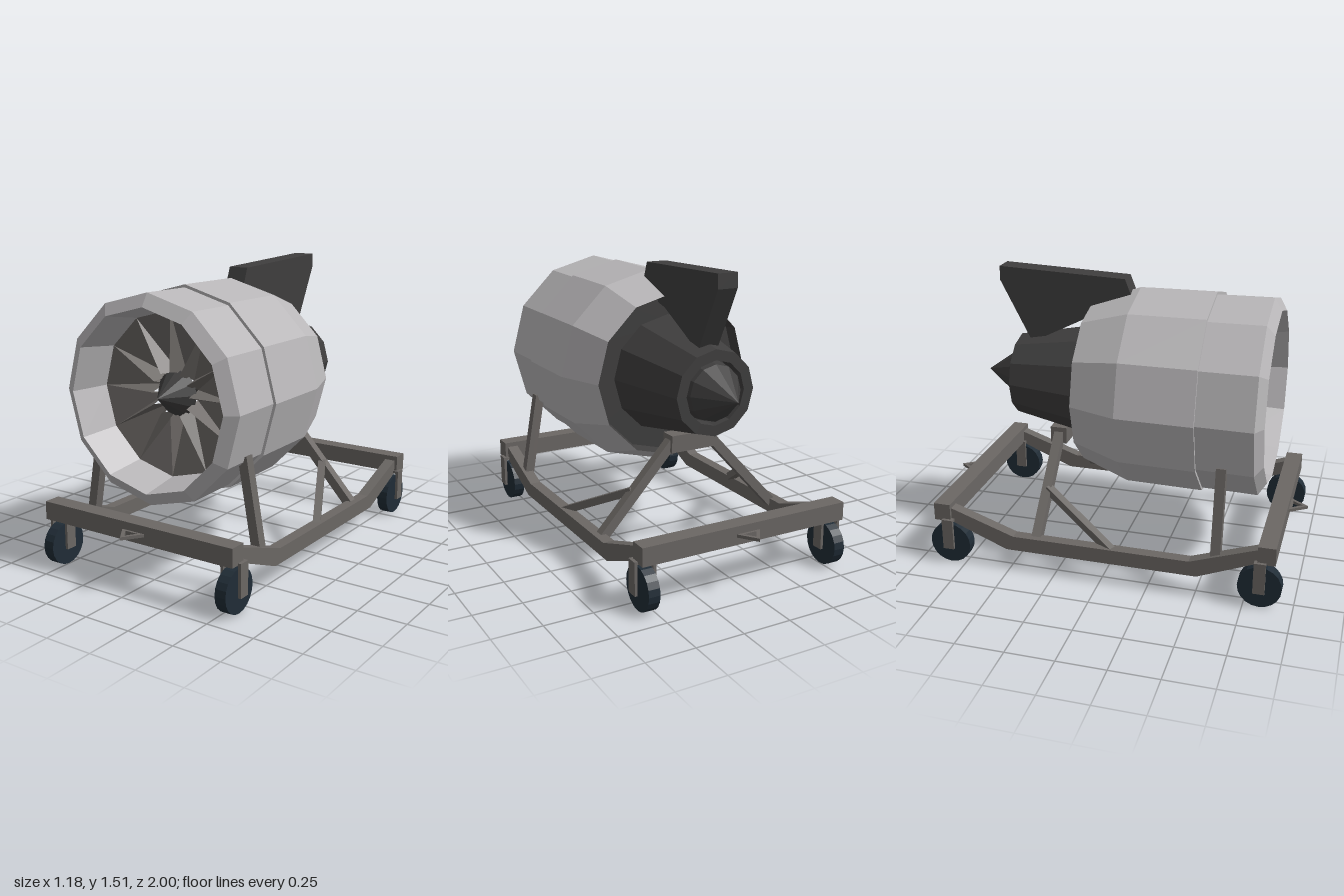
import * as THREE from 'three';

const mat = (name, color, side = THREE.FrontSide) => {
  const m = new THREE.MeshStandardMaterial({ color, flatShading: true, side });
  m.name = name;
  return m;
};

export function createModel() {
  const model = new THREE.Group();
  model.name = 'engineOnCart';
  const light = mat('lightCowlGrey', 0xb9b7b9);
  const dark = mat('darkCoreGrey', 0x3f3e3e, THREE.DoubleSide);
  const steel = mat('cartGrey', 0x6b6764, THREE.DoubleSide);
  const rubber = mat('wheelBlueBlack', 0x202c36);
  const AXIS = 0.915;

  const add = (name, geo, material, x = 0, y = 0, z = 0) => {
    const m = new THREE.Mesh(geo, material);
    m.name = name;
    m.position.set(x, y, z);
    model.add(m);
    return m;
  };
  const box = (name, w, h, d, x, y, z) => add(name, new THREE.BoxGeometry(w, h, d), steel, x, y, z);

  // Turned part along the engine axis; profile is [radius, z]
  const turned = (name, profile, material) => {
    const geo = new THREE.LatheGeometry(profile.map(p => new THREE.Vector2(...p)), 12);
    return add(name, geo.rotateX(Math.PI / 2), material, 0, AXIS, 0);
  };

  // Plate with a [z, y] outline, centred on x
  const sidePlate = (name, outline, width, x, material) => {
    const shape = new THREE.Shape(outline.map(([z, y]) => new THREE.Vector2(-z, y)));
    const geo = new THREE.ExtrudeGeometry(shape, { depth: width, bevelEnabled: false });
    return add(name, geo.translate(0, 0, -width / 2).rotateY(Math.PI / 2), material, x);
  };

  // Square bar between two points
  const bar = (name, a, b, size) => {
    const p = new THREE.Vector3(...a), q = new THREE.Vector3(...b);
    const m = box(name, size, size, p.distanceTo(q), 0, 0, 0);
    m.position.copy(p).add(q).multiplyScalar(0.5);
    m.lookAt(q);
    return m;
  };

  // Cowl with stepped seam, bevelled lip and intake wall
  turned('cowl', [[0.435, -0.185], [0.525, 0.07], [0.53, 0.47], [0.515, 0.47],
    [0.52, 0.76], [0.455, 0.8], [0.415, 0.57]], light);
  turned('rearDuct', [[0.28, -0.12], [0.42, -0.12], [0.435, -0.185]], dark);
  turned('core', [[0.1, -0.5], [0.165, -0.5], [0.165, -0.595], [0.22, -0.595],
    [0.3, -0.185], [0.315, -0.11]], dark);
  turned('exhaustCone', [[0, -0.795], [0.145, -0.595], [0.155, -0.5]], dark);
  turned('spinner', [[0.12, 0.54], [0, 0.7]], dark);

  // Fan: stepped sectors, each with a tapering wall at its leading edge
  const pos = [];
  const polar = (r, a, z) => [r * Math.cos(a), r * Math.sin(a), z];
  const step = Math.PI / 6;
  for (let i = 0; i < 12; i++) {
    const a = i * step;
    const tip = polar(0.418, a, 0.59), hub = polar(0.115, a, 0.6);
    const root = polar(0.1, a - 0.32, 0.5);
    const nextTip = polar(0.418, a - step, 0.59), nextHub = polar(0.115, a - step, 0.6);
    pos.push(...tip, ...hub, ...root);
    pos.push(...tip, ...root, ...nextTip, ...root, ...nextHub, ...nextTip);
  }
  const fan = new THREE.BufferGeometry();
  fan.setAttribute('position', new THREE.Float32BufferAttribute(pos, 3));
  fan.computeVertexNormals();
  add('fanBlades', fan, steel, 0, AXIS, 0);

  // Mounting pylon
  sidePlate('pylon', [[0.035, 1.4], [0, 1.49], [-0.685, 1.515], [-0.685, 1.44], [-0.525, 1.13],
    [-0.47, 1.135], [-0.185, 1.28], [-0.1, 1.3]], 0.11, 0, dark);

  // Cart sides
  for (const s of [-1, 1]) {
    sidePlate('sideRail', [[0.83, 0.25], [0.51, 0.12], [-0.51, 0.12], [-0.83, 0.25],
      [-0.83, 0.325], [-0.47, 0.2], [0.47, 0.2], [0.83, 0.325]], 0.06, s * 0.53, steel);
    bar('frontStrut', [s * 0.53, 0.17, 0.6], [s * 0.44, 0.68, 0.6], 0.05);
    bar('rearStrut', [s * 0.52, 0.17, -0.355], [s * 0.1, 0.63, -0.355], 0.05);
    bar('diagonalBrace', [s * 0.53, 0.18, 0.06], [s * 0.33, 0.39, -0.35], 0.04);
  }
  box('saddle', 0.26, 0.09, 0.09, 0, 0.615, -0.355);

  // Cart ends: cross beam, tow eye, casters
  for (const e of [-1, 1]) {
    box('crossBeam', 1.15, 0.095, 0.09, 0, 0.2975, e * 0.86);

    const eye = new THREE.Shape([[-0.07, 0], [0.07, 0], [0, 0.1]].map(p => new THREE.Vector2(...p)));
    eye.holes.push(new THREE.Path([[-0.036, 0.018], [0, 0.07], [0.036, 0.018]].map(p => new THREE.Vector2(...p))));
    const eyeGeo = new THREE.ExtrudeGeometry(eye, { depth: 0.016, bevelEnabled: false });
    eyeGeo.translate(0, 0, -0.008).rotateX(e * Math.PI / 2);
    add('towEye', eyeGeo, steel, 0, 0.297, e * 0.9);

    for (const s of [-1, 1]) {
      const wheel = new THREE.CylinderGeometry(0.112, 0.112, 0.06, 20).rotateZ(Math.PI / 2);
      add('wheel', wheel, rubber, s * 0.532, 0.112, e * 0.83);
      box('casterTop', 0.115, 0.015, 0.06, s * 0.535, 0.253, e * 0.83);
      for (const x of [0.485, 0.584]) box('casterFork', 0.015, 0.17, 0.06, s * x, 0.175, e * 0.83);
    }
  }
  return model;
}
